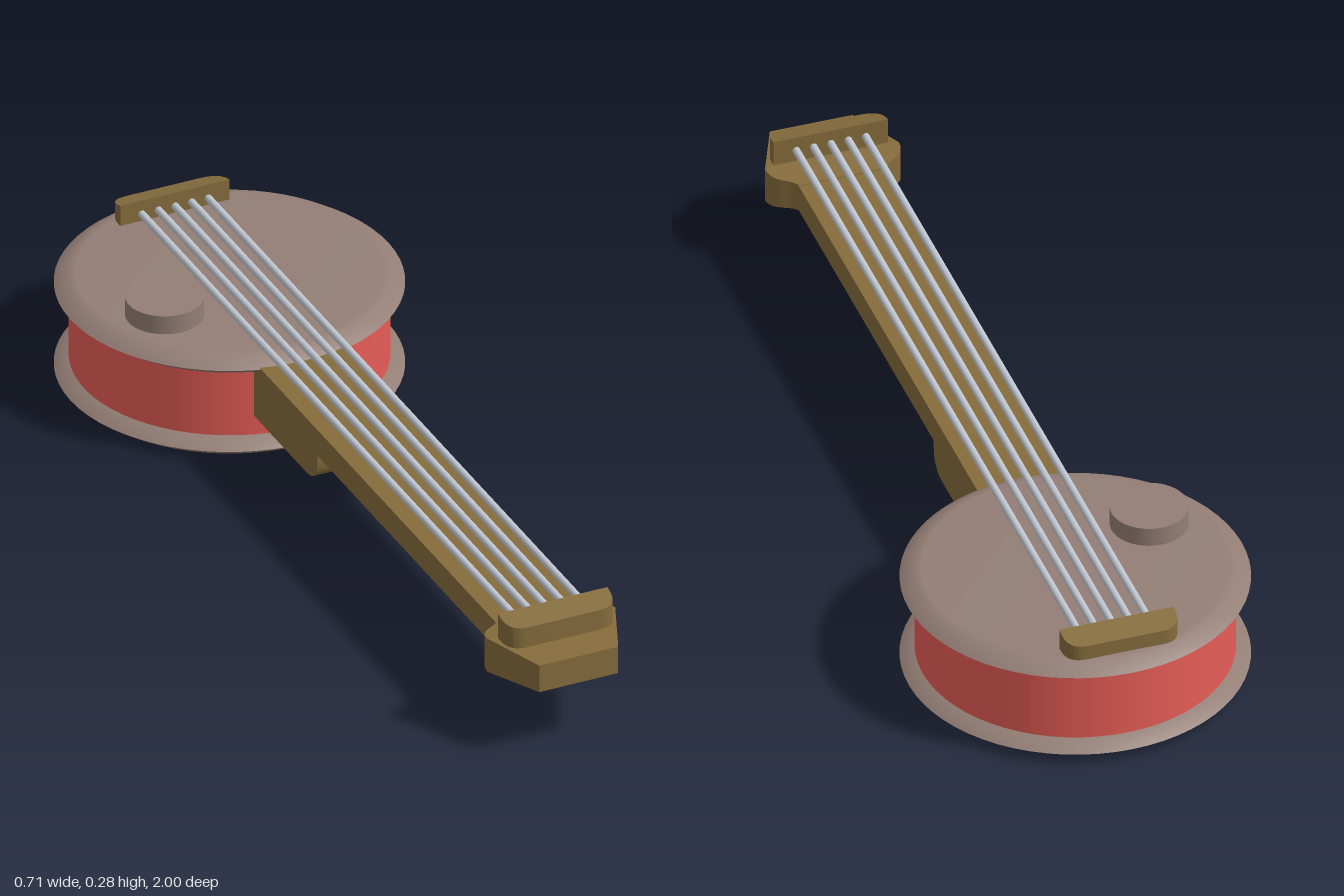
import * as THREE from 'three';
import { toCreasedNormals } from 'three/addons/utils/BufferGeometryUtils.js';

const material = (name, color) => {
  const m = new THREE.MeshStandardMaterial({ color });
  m.name = name;
  return m;
};

// Extrudes an (x, z) outline upright; low(z) and high(z) give its under and upper faces.
function plate(shape, low, high) {
  const g = new THREE.ExtrudeGeometry(shape, { depth: 1, bevelEnabled: false, curveSegments: 10 });
  g.rotateX(Math.PI / 2);
  const p = g.attributes.position;
  for (let i = 0; i < p.count; i++) {
    const z = p.getZ(i);
    p.setY(i, p.getY(i) < -0.5 ? low(z) : high(z));
  }
  return toCreasedNormals(g, 0.5);
}

export function createModel() {
  const model = new THREE.Group();
  model.name = 'banjo';
  const skin = material('taupe', 0x937e75);
  const red = material('red', 0xe65c56);
  const wood = material('wood', 0x856c3c);
  const steel = material('steel', 0xc0c6d0);
  const bodyZ = -0.645;

  function add(name, geometry, mat, x = 0, y = 0, z = 0) {
    const mesh = new THREE.Mesh(geometry, mat);
    mesh.name = name;
    mesh.position.set(x, y, z);
    model.add(mesh);
    return mesh;
  }

  // Round body: red shell between two rims with soft bevels and a sharp outer edge
  add('shell', new THREE.CylinderGeometry(0.325, 0.325, 0.16, 64, 1, true), red, 0, 0.1175, bodyZ);
  const rimProfile = [[0, 0], [0.31, 0], [0.325, 0.001], [0.355, 0.0225], [0.325, 0.044], [0.31, 0.045], [0, 0.045]]
    .map(([r, y]) => new THREE.Vector2(r, y));
  const rim = toCreasedNormals(new THREE.LatheGeometry(rimProfile, 64), 0.8);
  add('backRim', rim, skin, 0, 0, bodyZ);
  add('frontRim', rim, skin, 0, 0.19, bodyZ);
  add('knob', new THREE.CylinderGeometry(0.08, 0.08, 0.05, 40), skin, -0.19, 0.252, -0.55);

  // Neck, and the heel with its rounded lower corner
  add('neck', new THREE.BoxGeometry(0.186, 0.06, 1.21), wood, 0, 0.185, 0.215);
  const heel = new THREE.Shape();
  heel.moveTo(-0.39, 0.088);
  heel.lineTo(-0.085, 0.088);
  heel.quadraticCurveTo(-0.035, 0.09, -0.035, 0.14);
  heel.lineTo(-0.035, 0.16);
  heel.lineTo(-0.39, 0.16);
  const heelGeometry = new THREE.ExtrudeGeometry(heel, { depth: 0.186, bevelEnabled: false, curveSegments: 10 });
  heelGeometry.rotateY(-Math.PI / 2);
  heelGeometry.translate(0.093, 0, 0);
  add('heel', toCreasedNormals(heelGeometry, 0.5), wood);

  // Headstock: flares out from the neck, then tapers to the tip
  const flare = new THREE.Shape();
  flare.moveTo(-0.093, 0.805);
  flare.lineTo(0.093, 0.805);
  flare.bezierCurveTo(0.105, 0.83, 0.143, 0.825, 0.143, 0.87);
  flare.lineTo(-0.143, 0.87);
  flare.bezierCurveTo(-0.143, 0.825, -0.105, 0.83, -0.093, 0.805);
  const bulge = z => (z < 0.87 ? (z - 0.805) / 0.065 : (1 - z) / 0.13) * 0.008;
  const low = z => 0.155 - bulge(z);
  const high = z => 0.217 + bulge(z);
  add('headstockFlare', plate(flare, low, high), wood);
  const tip = new THREE.Shape([[-0.143, 0.87], [0.143, 0.87], [0.088, 1], [-0.088, 1]]
    .map(([x, z]) => new THREE.Vector2(x, z)));
  add('headstockTip', plate(tip, low, high), wood);

  // Nut and bridge: matching blocks with rounded outer corners and sloping tops
  const block = new THREE.Shape();
  block.moveTo(-0.122, 0);
  block.lineTo(0.122, 0);
  block.lineTo(0.122, 0.015);
  block.quadraticCurveTo(0.12, 0.053, 0.08, 0.053);
  block.lineTo(-0.08, 0.053);
  block.quadraticCurveTo(-0.12, 0.053, -0.122, 0.015);
  const blockTop = z => 0.282 - z * 0.28;
  add('nut', plate(block, () => 0.215, blockTop), wood, 0, 0, 0.877);
  add('bridge', plate(block, () => 0.23, blockTop), wood, 0, 0, -0.902).rotation.y = Math.PI;

  // Five strings
  const string = new THREE.CylinderGeometry(0.008, 0.008, 1.8, 12);
  string.rotateX(Math.PI / 2);
  for (let i = -2; i <= 2; i++) add('string', string, steel, i * 0.037, 0.251, -0.01);

  return model;
}
